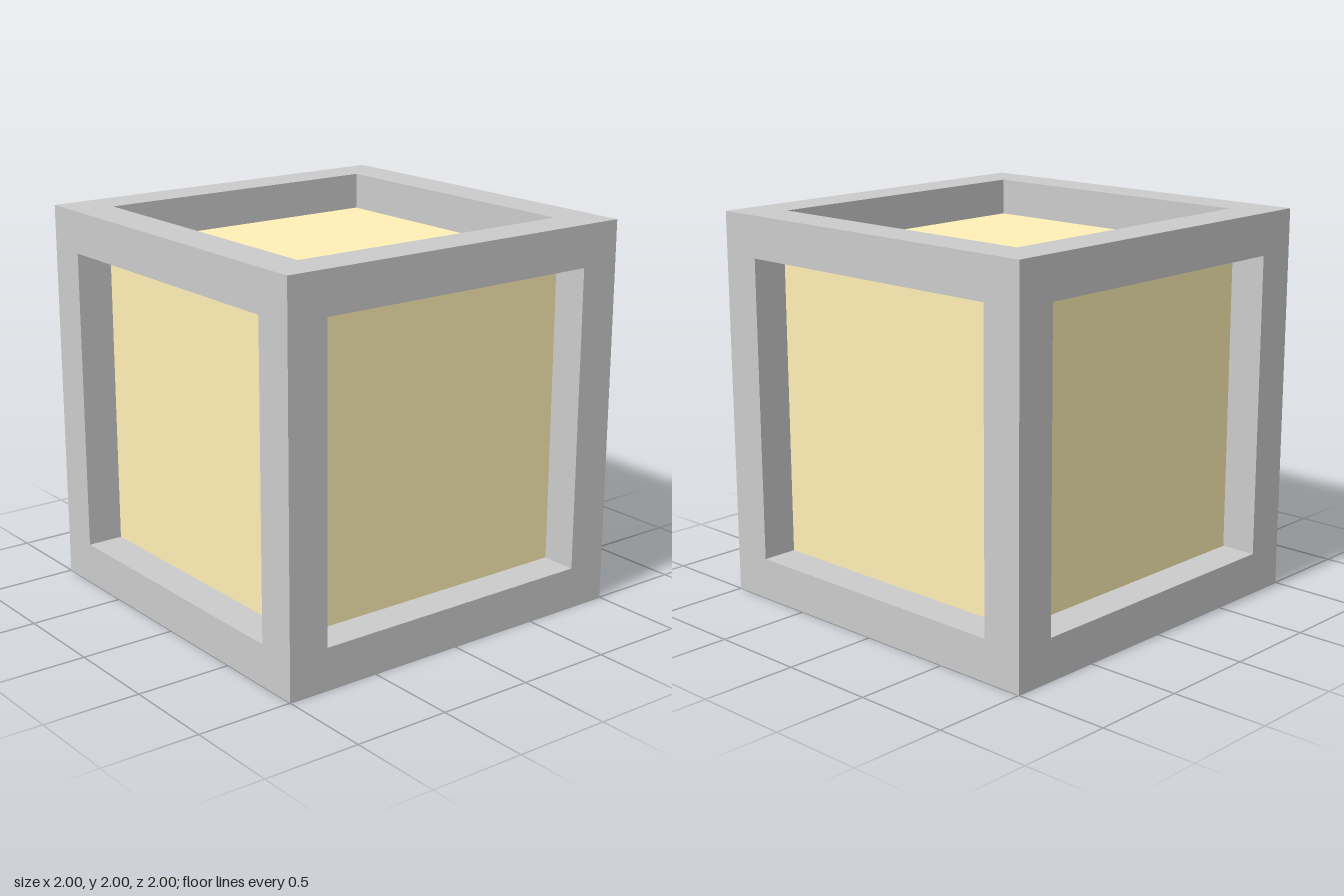
import * as THREE from 'three';
import { mergeGeometries } from 'three/addons/utils/BufferGeometryUtils.js';

const HALF = 1;        // half of the outer cube
const OPENING = 0.785; // half of each square opening
const PANEL = 0.81;    // distance of the panels from the centre

function square(PathType, h) {
  return new PathType([[-h, -h], [h, -h], [h, h], [-h, h]].map(([x, y]) => new THREE.Vector2(x, y)));
}

// One side of the frame, facing +z: a flat border plus the four walls of its recess
function frameSide() {
  const shape = square(THREE.Shape, HALF);
  shape.holes.push(square(THREE.Path, OPENING));
  const parts = [new THREE.ShapeGeometry(shape).translate(0, 0, HALF).toNonIndexed()];
  for (let i = 0; i < 4; i++) {
    parts.push(new THREE.PlaneGeometry(2 * OPENING, HALF - PANEL)
      .rotateX(-Math.PI / 2)
      .translate(0, -OPENING, (HALF + PANEL) / 2)
      .rotateZ(i * Math.PI / 2)
      .toNonIndexed());
  }
  return mergeGeometries(parts);
}

export function createModel() {
  const group = new THREE.Group();
  group.name = 'framedCube';

  // Seamless outer frame made from six identical sides
  const sides = [];
  for (let i = 0; i < 4; i++) sides.push(frameSide().rotateY(i * Math.PI / 2));
  for (const s of [-1, 1]) sides.push(frameSide().rotateX(s * Math.PI / 2));
  const frame = new THREE.Mesh(
    mergeGeometries(sides),
    new THREE.MeshStandardMaterial({ color: 0xcccccc })
  );
  frame.name = 'frame';

  // Inner block whose faces form the recessed panels
  const core = new THREE.Mesh(
    new THREE.BoxGeometry(2 * PANEL, 2 * PANEL, 2 * PANEL),
    new THREE.MeshStandardMaterial({ color: 0xfff0b5 })
  );
  core.name = 'innerPanels';

  for (const mesh of [frame, core]) {
    mesh.position.y = HALF;
    group.add(mesh);
  }
  return group;
}
